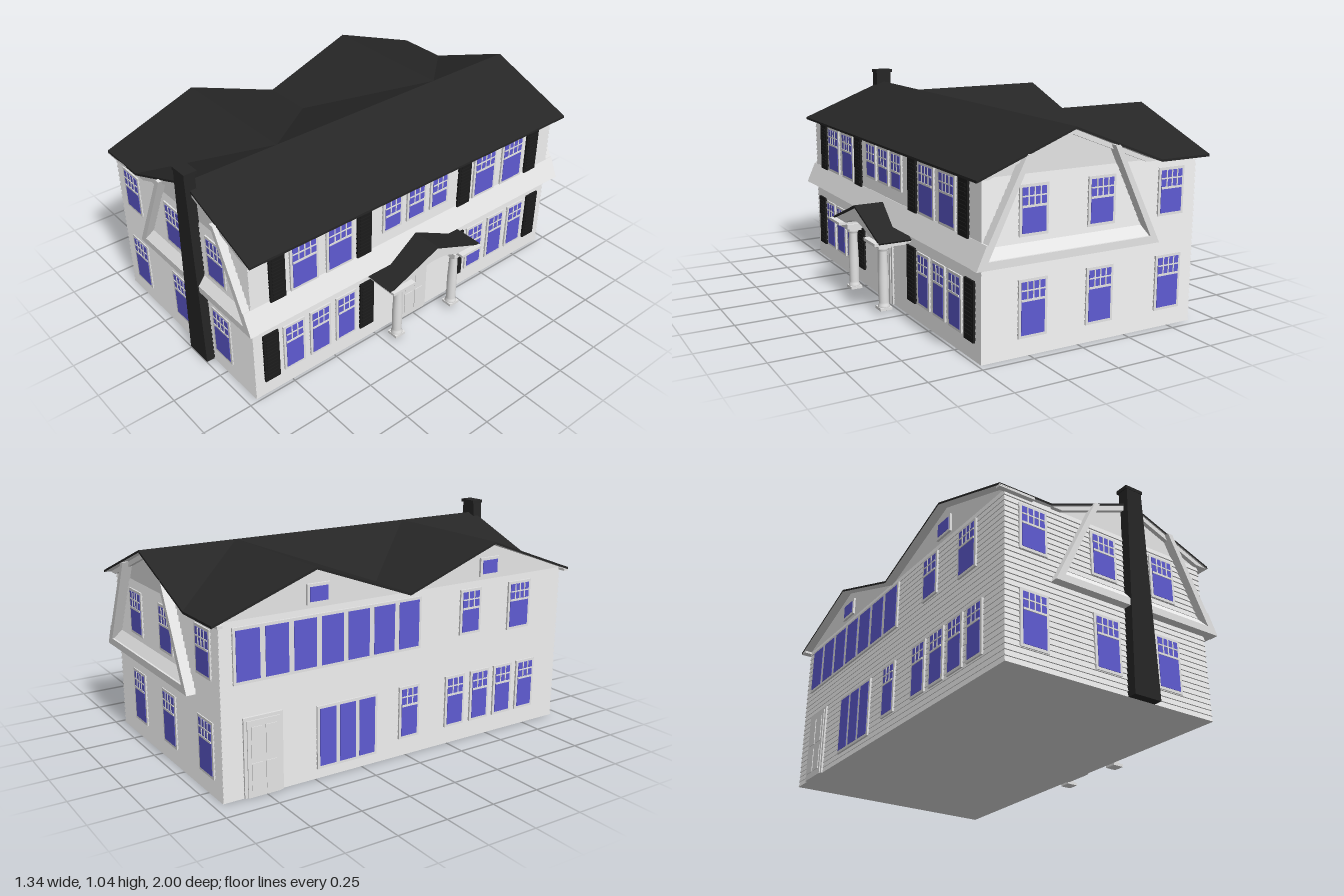
import * as THREE from 'three';

const mat = (name, color, side = THREE.FrontSide) => {
  const m = new THREE.MeshStandardMaterial({ color, side });
  m.name = name;
  return m;
};

export function createModel() {
  const white = mat('white paint', 0xe4e4e4, THREE.DoubleSide);
  const siding = mat('white siding', 0xe4e4e4);
  siding.flatShading = true;
  const black = mat('black roofing', 0x262626, THREE.DoubleSide);
  const dark = mat('black shutters', 0x1c1c1c);
  const blue = mat('blue glass', 0x5f5bd2);
  const house = new THREE.Group();
  house.name = 'house';

  const add = (parent, name, geo, material, x = 0, y = 0, z = 0) => {
    const m = new THREE.Mesh(geo, material);
    m.name = name;
    m.position.set(x, y, z);
    parent.add(m);
    return m;
  };
  const box = (parent, name, material, w, h, d, x, y, z) =>
    add(parent, name, new THREE.BoxGeometry(w, h, d), material, x, y, z);
  const prism = (parent, name, material, pts, depth, z) => {
    const shape = new THREE.Shape(pts.map(p => new THREE.Vector2(p[0], p[1])));
    return add(parent, name, new THREE.ExtrudeGeometry(shape, { depth, bevelEnabled: false }), material, 0, 0, z);
  };

  // Clapboard walls: a four-sided lathe of overlapping boards
  const boards = 30, top = 0.79, profile = [new THREE.Vector2(0, 0)];
  for (let i = 0; i < boards; i++) {
    profile.push(new THREE.Vector2(1.007, i * top / boards), new THREE.Vector2(1, (i + 1) * top / boards));
  }
  const wallGeo = new THREE.LatheGeometry(profile, 4).toNonIndexed();
  wallGeo.rotateY(Math.PI / 4);
  wallGeo.scale(0.555 * Math.SQRT2, 1, 0.95 * Math.SQRT2);
  wallGeo.computeVertexNormals();
  add(house, 'walls', wallGeo, siding, -0.075);

  // Facades: local x runs along the wall, local z points outward
  const facade = (name, x, z, angle) => {
    const g = new THREE.Group();
    g.name = name;
    g.position.set(x, 0, z);
    g.rotation.y = angle;
    house.add(g);
    return g;
  };
  const front = facade('frontFacade', 0, 0.95, 0);
  const back = facade('backFacade', 0, -0.95, Math.PI);
  const left = facade('entranceFacade', 0.48, 0, Math.PI / 2);
  const right = facade('gardenFacade', -0.63, 0, -Math.PI / 2);

  // Sash window; cols = 0 gives one plain pane
  const windowAt = (parent, x, y0, y1, w, cols = 0) => {
    const g = new THREE.Group();
    g.name = 'window';
    g.position.set(x, 0, 0);
    parent.add(g);
    const h = y1 - y0, mid = (y0 + y1) / 2, c = 0.026;
    box(g, 'windowCasing', white, w + c, h + c, 0.011, 0, mid, 0.0055);
    box(g, 'windowGlass', blue, w, h, 0.004, 0, mid, 0.011);
    if (!cols) return;
    const rail = y1 - 0.08;
    box(g, 'meetingRail', white, w, 0.01, 0.006, 0, rail, 0.013);
    box(g, 'crossBar', white, w, 0.006, 0.005, 0, y1 - 0.037, 0.013);
    for (let i = 1; i < cols; i++)
      box(g, 'uprightBar', white, 0.006, y1 - rail, 0.005, -w / 2 + i * w / cols, (y1 + rail) / 2, 0.013);
  };

  const shutterAt = (x, y0, y1) => {
    box(left, 'shutter', dark, 0.083, y1 - y0, 0.012, x, (y0 + y1) / 2, 0.007);
    const n = 12, step = (y1 - y0 - 0.03) / n;
    for (let i = 0; i < n; i++)
      box(left, 'louvre', dark, 0.06, step * 0.5, 0.006, x, y0 + 0.015 + (i + 0.5) * step, 0.014);
  };

  const doorAt = (parent, x, w, h) => {
    box(parent, 'doorCasing', white, w + 0.03, h + 0.015, 0.011, x, (h + 0.015) / 2, 0.0055);
    box(parent, 'door', white, w, h, 0.006, x, h / 2, 0.013);
    for (const s of [-1, 1]) for (const [y, ph] of [[0.27, 0.36], [0.72, 0.4]])
      box(parent, 'doorPanel', white, w * 0.34, h * ph, 0.005, x + s * w * 0.22, h * y, 0.017);
  };

  // Gable ends: windows, gable wall, gambrel trim, pent ledge and rake boards
  for (const [end, s] of [[front, 1], [back, -1]]) {
    for (const x of [-0.49, -0.11, 0.235]) {
      windowAt(end, s * x, 0.54, 0.735, 0.117, 4);
      windowAt(end, s * x, 0.095, 0.33, 0.117, 4);
    }
    const at = pts => pts.map(([x, y]) => [s * x, y]);
    prism(end, 'gableWall', white, at([[0.48, 0.78], [0.48, 0.798], [0.06, 0.96], [-0.36, 0.795], [-0.63, 0.78]]), 0.02, -0.02);
    prism(end, 'gambrelTrim', white, at([[-0.4, 0.42], [0.53, 0.42], [0.295, 0.88], [0.268, 0.88],
      [0.475, 0.455], [-0.35, 0.455], [-0.143, 0.88], [-0.17, 0.88]]), s > 0 ? 0.042 : 0.05, 0);
    const ledge = prism(end, 'pentLedge', white, [[0, 0.45], [0.04, 0.455], [0, 0.505]], 0.82, 0);
    ledge.rotation.y = -Math.PI / 2;
    ledge.position.x = s * 0.0625 + 0.41;
    prism(end, 'rakeBoards', white, at([[0.52, 0.785], [0.06, 0.964], [-0.39, 0.785], [-0.34, 0.785], [0.06, 0.94], [0.46, 0.785]]), 0.02, 0);
    box(end, 'corniceReturn', white, 0.18, 0.012, 0.025, s * -0.58, 0.784, 0.0125);
  }

  // Entrance side: windows, shutters and flared skirt
  for (const s of [-1, 1]) {
    for (const x of [0.465, 0.665]) windowAt(left, s * x, 0.538, 0.755, 0.128, 4);
    for (const x of [0.43, 0.583, 0.734]) windowAt(left, s * x, 0.1, 0.33, 0.094, 3);
    for (const x of [0.322, 0.812]) shutterAt(s * x, 0.52, 0.77);
    for (const x of [0.302, 0.863]) shutterAt(s * x, 0.08, 0.35);
  }
  for (const x of [-0.15, 0, 0.15]) windowAt(left, x, 0.6, 0.755, 0.092, 3);
  doorAt(left, 0, 0.15, 0.32);
  prism(house, 'flaredSkirt', white, [[0.475, 0.422], [0.53, 0.422], [0.483, 0.525], [0.475, 0.525]], 1.992, -1);

  // Garden side: window band, lower windows, door and two gables
  for (let i = 0; i < 7; i++) windowAt(right, -0.825 + i * 0.138, 0.53, 0.75, 0.112);
  windowAt(right, 0.37, 0.55, 0.745, 0.1, 3);
  windowAt(right, 0.68, 0.53, 0.745, 0.117, 4);
  for (const x of [-0.435, -0.33, -0.225]) windowAt(right, x, 0.06, 0.33, 0.085);
  windowAt(right, 0.015, 0.1, 0.33, 0.09, 3);
  for (const x of [0.29, 0.445, 0.595, 0.745]) windowAt(right, x, 0.1, 0.33, 0.092, 3);
  doorAt(right, -0.76, 0.16, 0.35);
  for (const s of [-1, 1]) {
    prism(right, 'crossGableWall', white, [[s * 0.95, 0.78], [s * 0.95, 0.795], [s * 0.49, 0.957], [0, 0.785], [0, 0.78]], 0.02, -0.02);
    windowAt(right, s * 0.48, 0.82, 0.885, 0.09);
  }

  // Roof: main gable with two cross gables on the garden side
  const eave = 0.795, ridge = 0.975, drop = 0.011, zb = -1, zf = 0.975, zc = -0.0125;
  const tris = [], quad = (a, b, c, d) => tris.push(a, b, c, a, c, d);
  const peaks = [];
  quad([0.53, eave, zf], [0.53, eave, zb], [0.06, ridge, zb], [0.06, ridge, zf]);
  for (const [z, s] of [[zb, 1], [zf, -1]]) {
    const zm = (z + zc) / 2, P = [0.06, ridge, zm], Q = [-0.67, ridge, zm];
    peaks.push(P);
    const faces = [
      [[0.06, ridge, z], [-0.4, eave, z], P],
      [[-0.4, eave, z], [-0.67, eave, z], Q], [[-0.4, eave, z], Q, P],
      [[-0.4, eave, zc], P, Q], [[-0.4, eave, zc], Q, [-0.67, eave, zc]],
    ];
    for (const [a, b, c] of faces) s > 0 ? tris.push(a, b, c) : tris.push(a, c, b);
  }
  tris.push(peaks[1], peaks[0], [-0.4, eave, zc]);
  const surface = list => {
    const g = new THREE.BufferGeometry();
    g.setAttribute('position', new THREE.Float32BufferAttribute(list.flat(), 3));
    g.computeVertexNormals();
    return g;
  };
  add(house, 'roof', surface(tris), black);
  add(house, 'soffit', surface(tris.map((_, i) => tris[i - i % 3 + 2 - i % 3])), white, 0, -drop, 0);
  const rim = [[0.53, eave, zf], [0.06, ridge, zf], [-0.4, eave, zf], [-0.67, eave, zf],
    [-0.67, ridge, (zf + zc) / 2], [-0.67, eave, zc], [-0.67, ridge, (zb + zc) / 2], [-0.67, eave, zb],
    [-0.4, eave, zb], [0.06, ridge, zb], [0.53, eave, zb]];
  const edge = [], low = ([x, y, z]) => [x, y - drop, z];
  rim.forEach((a, i) => {
    const b = rim[(i + 1) % rim.length];
    edge.push(a, b, low(b), a, low(b), low(a));
  });
  add(house, 'roofEdge', surface(edge), black);

  // Chimney: a tapered stack with a cap
  const stack = new THREE.BoxGeometry(1, 1.03, 0.055);
  const p = stack.attributes.position;
  for (let i = 0; i < p.count; i++) p.setX(i, p.getX(i) * (p.getY(i) > 0 ? 0.085 : 0.145));
  stack.computeVertexNormals();
  add(house, 'chimney', stack, black, 0.063, 0.515, 0.9705);
  box(house, 'chimneyCap', black, 0.097, 0.016, 0.066, 0.063, 1.037, 0.967);

  // Portico: roof, arched pediment, entablature and columns
  const portico = new THREE.Group();
  portico.name = 'portico';
  left.add(portico);
  prism(portico, 'porticoRoof', black, [[-0.295, 0.38], [0, 0.5], [0.295, 0.38], [0.29, 0.372], [0, 0.489], [-0.29, 0.372]], 0.165, 0);
  const arch = new THREE.Shape();
  arch.moveTo(-0.27, 0.38);
  arch.lineTo(-0.145, 0.38);
  arch.quadraticCurveTo(0, 0.455, 0.145, 0.38);
  arch.lineTo(0.27, 0.38);
  arch.lineTo(0, 0.488);
  add(portico, 'pediment', new THREE.ExtrudeGeometry(arch, { depth: 0.155, bevelEnabled: false, curveSegments: 16 }), white);
  const column = new THREE.LatheGeometry([[0, 0.022], [0.029, 0.022], [0.029, 0.042], [0.024, 0.05], [0.024, 0.06],
    [0.025, 0.18], [0.02, 0.31], [0.026, 0.318], [0.03, 0.335], [0, 0.335]].map(v => new THREE.Vector2(...v)), 20);
  for (const s of [-1, 1]) {
    box(portico, 'entablature', white, 0.135, 0.014, 0.185, s * 0.2225, 0.373, 0.0925);
    box(portico, 'beam', white, 0.095, 0.024, 0.145, s * 0.192, 0.354, 0.0725);
    add(portico, 'column', column, white, s * 0.185, 0, 0.1);
    box(portico, 'columnCap', white, 0.064, 0.014, 0.064, s * 0.185, 0.337, 0.1);
    box(portico, 'columnBase', white, 0.06, 0.014, 0.06, s * 0.185, 0.03, 0.1);
  }
  return house;
}
